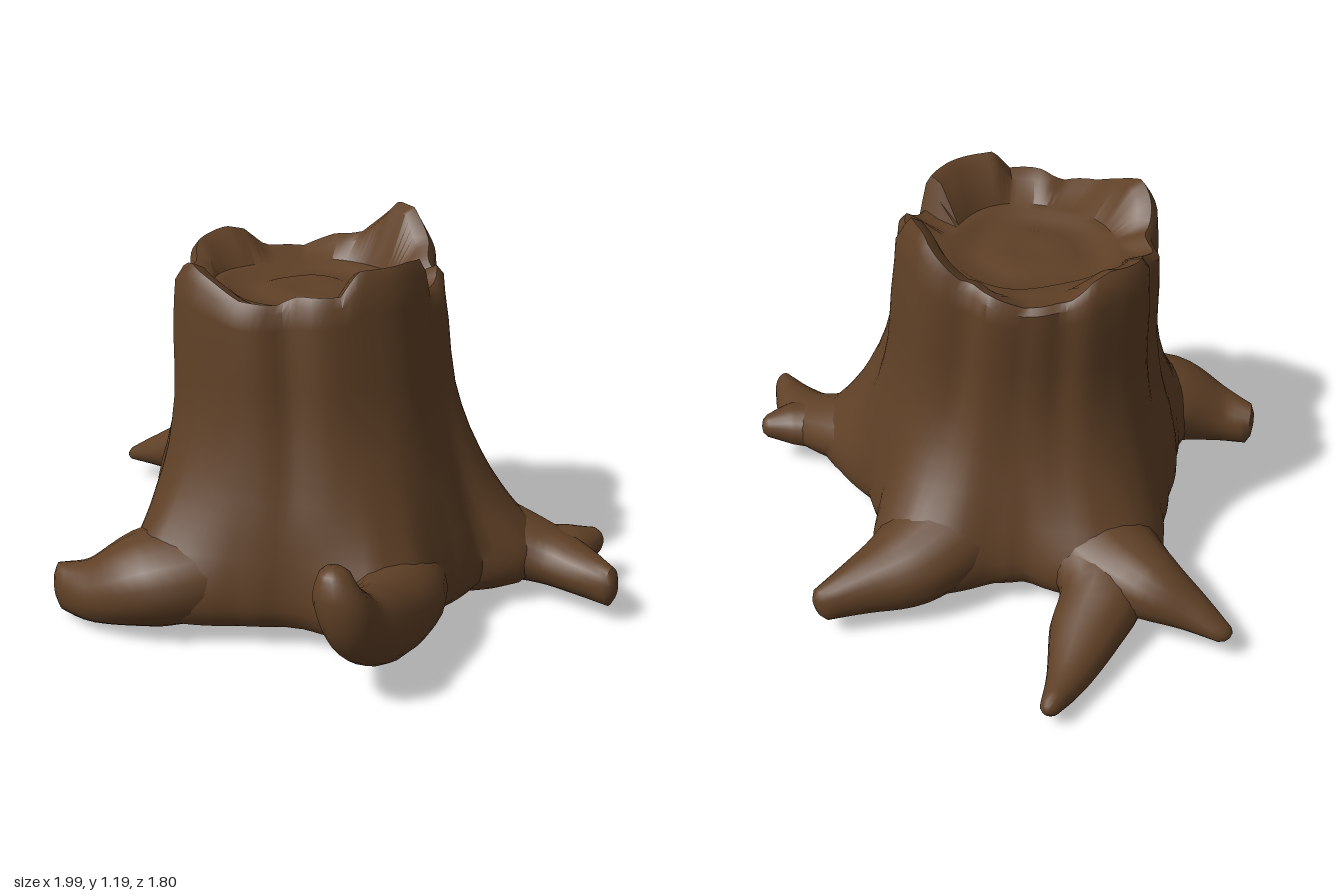
import * as THREE from 'three';
import { toCreasedNormals } from 'three/addons/utils/BufferGeometryUtils.js';

const V = (x, y, z) => new THREE.Vector3(x, y, z);

// Skin a list of equal-length rings of points
function loft(rings, crease) {
  const n = rings[0].length, pos = [], idx = [];
  rings.forEach(r => r.forEach(p => pos.push(p.x, p.y, p.z)));
  for (let i = 0; i < rings.length - 1; i++) {
    for (let j = 0; j < n; j++) {
      const a = i * n + j, c = i * n + (j + 1) % n;
      idx.push(a, a + n, c, c, a + n, c + n);
    }
  }
  const g = new THREE.BufferGeometry();
  g.setAttribute('position', new THREE.Float32BufferAttribute(pos, 3));
  g.setIndex(idx);
  return toCreasedNormals(g, crease);
}

// Piecewise linear lookup in a list of [key, value]
function lookup(table, k) {
  for (let i = 1; i < table.length; i++) {
    const [k0, v0] = table[i - 1], [k1, v1] = table[i];
    if (k <= k1) return v0 + (v1 - v0) * (k - k0) / (k1 - k0);
  }
  return table[table.length - 1][1];
}

// Bell curve around an angle, in degrees
function bell(deg, centre, width) {
  const d = ((deg - centre + 540) % 360) - 180;
  return Math.exp(-(d * d) / (width * width));
}

// Height of the broken rim by angle (0 = +x, 90 = front)
const RIM = [[0, 1.15], [25, 1.15], [33, 1.08], [50, 1.08], [60, 1.05], [75, 1.06], [92, 1.11], [103, 1.14], [112, 1.11],
  [122, 1.04], [140, 1.02], [155, 1.05], [165, 1.09], [185, 1.11], [195, 1.09], [205, 1.03], [225, 1.02], [240, 1.06],
  [255, 1.08], [268, 1.16], [274, 1.2], [288, 1.2], [300, 1.12], [315, 1.05], [325, 1.08], [335, 1.03], [342, 1.03],
  [348, 1.14], [360, 1.15]];
// Star-shaped foot, radius by angle
const FOOT = [[0, 0.59], [8, 0.61], [18, 0.68], [30, 0.69], [42, 0.61], [50, 0.56], [58, 0.55], [72, 0.59], [87, 0.68],
  [100, 0.75], [112, 0.66], [122, 0.57], [133, 0.54], [155, 0.54], [170, 0.59], [179, 0.67], [190, 0.74], [203, 0.73],
  [213, 0.66], [221, 0.6], [232, 0.62], [243, 0.71], [254, 0.76], [266, 0.7], [277, 0.58], [293, 0.555], [308, 0.64],
  [318, 0.72], [328, 0.77], [337, 0.73], [345, 0.6], [360, 0.59]];
// How far the foot shows at each height
const SPREAD = [[0.04, 0.85], [0.1, 1], [0.18, 0.97], [0.25, 0.75], [0.32, 0.5], [0.4, 0.3], [0.5, 0.15], [0.65, 0.03], [0.8, 0]];
// Plain trunk radius by height, and how it bulges by angle
const PROFILE = [[0.25, 0.52], [0.4, 0.5], [0.5, 0.475], [0.7, 0.45], [0.9, 0.44], [1.2, 0.41]];
const BULGE = [[0, 0.008], [25, 0.01], [50, 0], [95, 0.022], [115, 0.01], [135, -0.025], [155, -0.005], [180, 0.01],
  [205, 0], [225, -0.015], [245, 0], [270, 0.015], [300, 0.005], [360, 0.008]];
const SEAMS = [55, 128, 153, 208, 250, 310, 340];

function trunkRadius(deg, y) {
  const high = THREE.MathUtils.smoothstep(y, 0.15, 0.8);
  let r = THREE.MathUtils.lerp(lookup(PROFILE, Math.max(y, 0.25)), lookup(FOOT, deg), lookup(SPREAD, y));
  r += (lookup(BULGE, deg) + 0.004 * Math.sin(deg * Math.PI * 11 / 180)) * high;
  SEAMS.forEach(s => { r -= 0.024 * high * bell(deg, s, 7); });
  return r;
}

function trunkGeometry() {
  const N = 120, rings = [];
  const ring = fn => rings.push(Array.from({ length: N }, (_, j) => {
    const deg = j * 360 / N, a = deg * Math.PI / 180, { r, y } = fn(deg);
    const cx = 0.02 + 0.035 * THREE.MathUtils.clamp((1 - y) / 0.5, 0, 1);
    return V(cx + r * Math.cos(a), y, 0.07 + r * Math.sin(a));
  }));
  // rounded underside
  ring(() => ({ r: 0, y: 0.045 }));
  for (const [k, y] of [[0.5, 0.045], [0.78, 0.045], [0.88, 0.055], [0.945, 0.075], [0.985, 0.105]]) {
    ring(d => ({ r: trunkRadius(d, 0.12) * k, y }));
  }
  // outer bark, stretched to the rim near the top
  for (const y of [0.14, 0.18, 0.22, 0.26, 0.3, 0.34, 0.4, 0.46, 0.54, 0.62, 0.7, 0.8, 0.9]) {
    ring(d => ({ r: trunkRadius(d, y), y }));
  }
  for (const t of [0.5, 0.85, 1]) {
    ring(d => {
      const y = 0.9 + (lookup(RIM, d) - 0.9) * t;
      return { r: trunkRadius(d, y) - (t === 1 ? 0.02 : 0), y };
    });
  }
  // sloping broken inner wall and sunken growth rings
  ring(d => ({ r: trunkRadius(d, 1.1) - 0.065, y: lookup(RIM, d) - 0.02 }));
  const wobble = d => 0.012 * Math.sin(d * Math.PI / 60) + 0.008 * Math.sin(d * Math.PI / 36);
  for (const [r, y] of [[0.29, 1.0], [0.25, 1.0], [0.23, 0.985], [0.15, 0.985], [0.12, 0.995], [0.05, 0.99]]) {
    ring(d => ({ r: r + wobble(d) * r * 3, y }));
  }
  ring(() => ({ r: 0, y: 0.985 }));
  return loft(rings, 0.8);
}

// Tapered oval root; stations are [x, y, z, half width, half height]
function rootGeometry(stations) {
  const path = new THREE.CatmullRomCurve3(stations.map(s => V(s[0], s[1], s[2])));
  const size = new THREE.CatmullRomCurve3(stations.map(s => V(s[3], s[4], 0)));
  const chord = path.getPoint(1).sub(path.getPoint(0)).setY(0).normalize();
  const rings = [], STEPS = 18, N = 18;
  const section = (t, scale, push) => {
    const c = path.getPoint(t), s = size.getPoint(t), dir = path.getTangent(t);
    const side = dir.clone().add(chord).cross(V(0, 1, 0)).normalize();
    const up = side.clone().cross(dir).normalize();
    c.addScaledVector(dir, push);
    rings.push(Array.from({ length: N }, (_, j) => {
      const a = j / N * Math.PI * 2;
      return c.clone().addScaledVector(side, Math.cos(a) * s.x * scale).addScaledVector(up, Math.sin(a) * s.y * scale);
    }));
  };
  section(0, 0, 0);
  for (let i = 0; i <= STEPS; i++) section(i / STEPS, 1, 0);
  section(1, 0.6, 0.015);
  section(1, 0, 0.02);
  return loft(rings, 0.9);
}

const ROOTS = {
  frontRoot: [[0.04, 0.24, 0.25, 0.28, 0.2], [0, 0.19, 0.55, 0.22, 0.16], [-0.08, 0.165, 0.7, 0.185, 0.145],
    [-0.2, 0.12, 0.8, 0.12, 0.1], [-0.32, 0.11, 0.845, 0.06, 0.078]],
  rightRoot: [[-0.15, 0.22, 0, 0.22, 0.16], [-0.52, 0.18, -0.09, 0.18, 0.13], [-0.73, 0.17, -0.1, 0.12, 0.105],
    [-0.87, 0.135, -0.06, 0.07, 0.06], [-0.98, 0.1, -0.03, 0.035, 0.025]],
  rightRootFork: [[-0.35, 0.18, -0.1, 0.18, 0.13], [-0.61, 0.14, -0.19, 0.14, 0.115], [-0.69, 0.1, -0.34, 0.115, 0.09],
    [-0.775, 0.075, -0.5, 0.065, 0.06], [-0.83, 0.085, -0.625, 0.03, 0.032]],
  backRoot: [[-0.05, 0.25, -0.2, 0.25, 0.2], [-0.12, 0.19, -0.45, 0.19, 0.15], [-0.125, 0.155, -0.61, 0.15, 0.125],
    [-0.095, 0.14, -0.76, 0.09, 0.09], [-0.065, 0.125, -0.885, 0.045, 0.06]],
  leftRoot: [[0.3, 0.21, -0.15, 0.22, 0.16], [0.55, 0.17, -0.27, 0.16, 0.12], [0.72, 0.14, -0.33, 0.115, 0.09],
    [0.85, 0.13, -0.325, 0.085, 0.075], [0.975, 0.13, -0.295, 0.04, 0.065]],
  leftRootKnob: [[0.66, 0.14, -0.31, 0.11, 0.085], [0.75, 0.15, -0.42, 0.085, 0.07], [0.785, 0.16, -0.5, 0.04, 0.04]],
  curledRoot: [[0.3, 0.2, 0.1, 0.22, 0.15], [0.57, 0.18, 0.27, 0.16, 0.13], [0.67, 0.2, 0.46, 0.115, 0.125],
    [0.705, 0.27, 0.6, 0.09, 0.1], [0.7, 0.37, 0.66, 0.08, 0.065], [0.68, 0.44, 0.66, 0.045, 0.045]],
};

export function createModel() {
  const model = new THREE.Group();
  model.name = 'treeStump';
  const bark = new THREE.MeshStandardMaterial({ color: 0x5f4026 });
  bark.name = 'barkBrown';
  const add = (name, geometry) => {
    const mesh = new THREE.Mesh(geometry, bark);
    mesh.name = name;
    model.add(mesh);
  };
  add('trunk', trunkGeometry());
  for (const [name, stations] of Object.entries(ROOTS)) add(name, rootGeometry(stations));
  return model;
}
